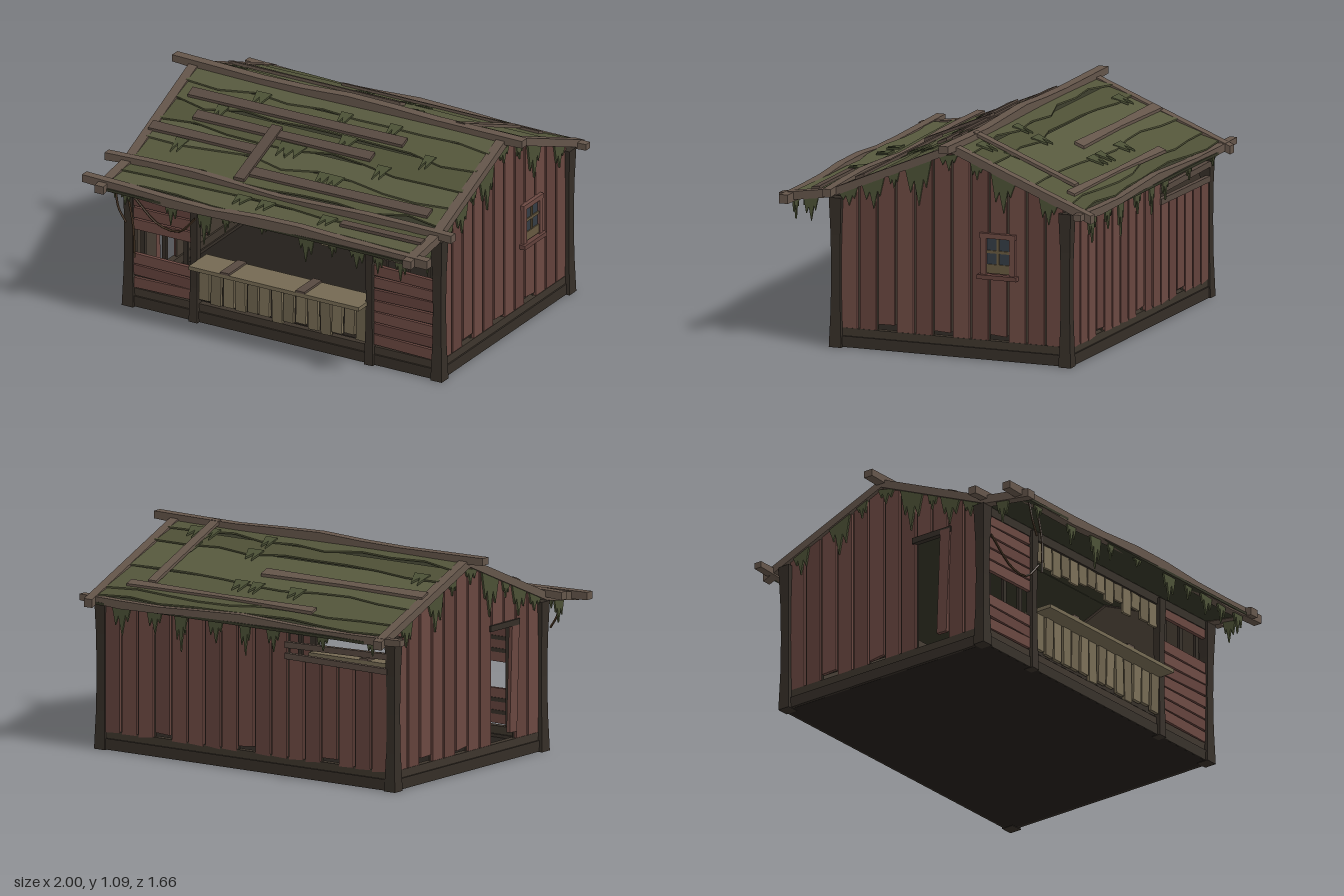
import * as THREE from 'three';

export function createModel() {
  const root = new THREE.Group();
  const mats = {};
  const mat = (c) => (mats[c] ??= new THREE.MeshStandardMaterial({ color: c, flatShading: true, side: THREE.DoubleSide }));
  const RED = [0x68463f, 0x62413b, 0x6c4942], INNER = 0x453c32, DARK = 0x352e27, POST = 0x3d352c,
    BEAM = 0x64554a, PATCH = 0x574940, PALE = [0x746952, 0x6c614c, 0x7a6e56], MOSS = [0x53553a, 0x4e5036, 0x57593e], DRIP = 0x4b5035;
  let seed = 7;
  const rnd = (a = 0, b = 1) => a + (b - a) * ((seed = (seed * 16807) % 2147483647) / 2147483647);

  const add = (name, geo, color, parent = root) => {
    const m = new THREE.Mesh(geo, mat(color));
    m.name = name;
    parent.add(m);
    return m;
  };
  const group = (name) => {
    const g = new THREE.Group();
    g.name = name;
    root.add(g);
    return g;
  };
  const box = (name, w, h, d, x, y, z, color, parent) => {
    const m = add(name, new THREE.BoxGeometry(w, h, d), color, parent);
    m.position.set(x, y, z);
    return m;
  };
  const slab = (pts, depth) => new THREE.ExtrudeGeometry(
    new THREE.Shape(pts.map((p) => new THREE.Vector2(p[0], p[1]))), { depth, bevelEnabled: false });

  // Roof profile: height of the roof deck at depth z
  const profile = [[-0.82, 0.745], [-0.09, 1.04], [0.55, 0.765], [0.82, 0.725]];
  const roofY = (z) => {
    const i = z < -0.09 ? 0 : z < 0.55 ? 1 : 2;
    const [a, b] = [profile[i], profile[i + 1]];
    return a[1] + ((z - a[0]) / (b[0] - a[0])) * (b[1] - a[1]);
  };

  // Piece drawn in plan (x, z) and draped on the roof; lift(z) raises it
  const drape = (name, pts, thick, lift, color, parent) => {
    const g = slab(pts.map(([x, z]) => [x, -z]), thick).rotateX(-Math.PI / 2);
    const p = g.attributes.position;
    for (let i = 0; i < p.count; i++) p.setY(i, p.getY(i) + roofY(p.getZ(i)) + lift(p.getZ(i)));
    g.computeVertexNormals();
    return add(name, g, color, parent);
  };

  // Crooked beam along x
  const beam = (name, x0, x1, h, d, y, z, color, bend = 0.01) => {
    const g = new THREE.BoxGeometry(x1 - x0, h, d, 8, 1, 1), p = g.attributes.position, k = rnd(0, 6);
    for (let i = 0; i < p.count; i++) {
      const x = p.getX(i), s = Math.sin(x * 5 + k);
      p.setY(i, p.getY(i) * (1 + 0.15 * Math.sin(x * 9 + k)) + bend * s);
      p.setZ(i, p.getZ(i) + bend * 0.7 * Math.cos(x * 4 + k));
    }
    add(name, g, color).position.set((x0 + x1) / 2, y, z);
  };

  // Floor and sill beams
  box('floor', 1.76, 0.04, 1.25, 0, 0.022, -0.085, 0x231e1a);
  for (const z of [0.52, -0.695]) {
    box('lowerSill', 1.74, 0.055, 0.05, 0, 0.03, z, DARK);
    box('upperSill', 1.74, 0.04, 0.035, 0, 0.078, z, POST);
  }
  for (const x of [-0.87, 0.87]) {
    box('lowerSill', 0.05, 0.055, 1.2, x, 0.03, -0.085, DARK);
    box('upperSill', 0.035, 0.04, 1.2, x, 0.078, -0.085, POST);
  }

  // Flared posts
  const post = (x, z, h, w) => {
    const g = new THREE.BoxGeometry(w, h, w, 1, 4, 1), p = g.attributes.position;
    for (let i = 0; i < p.count; i++) {
      const t = Math.abs(p.getY(i) / h) * 2, s = 0.72 + 0.28 * t * t;
      p.setX(i, p.getX(i) * s);
      p.setZ(i, p.getZ(i) * s);
    }
    add('post', g, DARK).position.set(x, h / 2, z);
  };
  for (const x of [-0.88, 0.88]) {
    post(x, 0.525, 0.75, 0.065);
    post(x, -0.695, 0.77, 0.065);
  }
  for (const x of [-0.505, 0.495]) post(x, 0.535, 0.74, 0.05);

  // Vertical board wall: red boards outside, brown lining inside
  const boardWall = (name, u0, u1, n, top, bottom, out) => {
    const g = group(name), step = (u1 - u0) / n;
    for (let i = 0; i < n; i++) {
      const a = u0 + i * step, b = a + step, lo = bottom(i), e = 0.007;
      const tops = (l, r) => (l < -0.09 && r > -0.09 ? [[r, top(r, i)], [-0.09, top(-0.09, i)], [l, top(l, i)]] : [[r, top(r, i)], [l, top(l, i)]]);
      const skew = rnd(-0.006, 0.006);
      if (lo === null) continue;
      add('board', slab([[a + e, lo + skew], [b - e, lo - skew], ...tops(a + e, b - e)], 0.014), RED[i % 3], g).position.z = out * 0.008 - 0.007;
      add('lining', slab([[a, lo], [b, lo], ...tops(a, b)], 0.008), INNER, g).position.z = -out * 0.004 - 0.004;
    }
    return g;
  };
  const gableTop = (z) => roofY(z) - 0.01;
  const right = boardWall('rightWall', -0.68, 0.51, 12, gableTop, (i) => ({ 3: 0.125, 6: 0.12, 9: 0.13 }[i] ?? 0.09), -1);
  right.rotation.y = -Math.PI / 2;
  right.position.x = 0.87;
  const left = boardWall('leftWall', -0.68, 0.51, 12, gableTop, (i) => ({ 2: 0.13, 8: 0.69, 9: 0.67, 5: 0.12 }[i] ?? 0.09), 1);
  left.rotation.y = -Math.PI / 2;
  left.position.x = -0.87;
  const back = boardWall('backWall', -0.86, 0.86, 17, (x, i) => (i < 6 ? 0.59 : 0.755), (i) => (i % 5 === 3 ? 0.12 : 0.09), -1);
  back.position.z = -0.7;

  // Loose rails across the gap in the back wall, and a hanging doorway board
  for (const [y, r] of [[0.6, 0.01], [0.665, -0.02]]) box('gapRail', 0.62, 0.03, 0.025, -0.55, y, -0.712, PATCH).rotation.z = r;
  box('looseDoorBoard', 0.02, 0.55, 0.06, -0.885, 0.41, 0.29, RED[0]).rotation.x = 0.04;
  box('doorLintel', 0.03, 0.03, 0.24, -0.88, 0.68, 0.215, DARK);

  // Front side panels of horizontal boards, each with a missing stretch
  for (const [cx, w, gap] of [[-0.695, 0.34, [3, 4]], [0.69, 0.35, [7, 8]]]) {
    const g = group('frontPanel');
    for (let i = 0; i < 10; i++) {
      if (gap.includes(i)) continue;
      const b = box('board', w, 0.054, 0.02, cx, 0.132 + i * 0.062, 0.53, RED[i % 3], g);
      b.rotation.z = rnd(-0.025, 0.025);
      if (!gap.includes(i + 1) && i < 9) box('seam', w, 0.02, 0.008, cx, 0.163 + i * 0.062, 0.52, DARK, g);
    }
    for (const s of [-1, 0, 1]) box('stud', 0.025, 0.62, 0.015, cx + s * w * 0.36, 0.41, 0.51, DARK, g);
  }

  // Counter and valance
  const counter = group('counter');
  box('counterTop', 0.97, 0.02, 0.17, 0, 0.325, 0.55, PALE[0], counter);
  box('counterBacking', 0.96, 0.2, 0.015, 0, 0.21, 0.515, DARK, counter);
  for (let i = 0; i < 14; i++) {
    const x = -0.45 + i * 0.069, h = rnd(0.18, 0.22), v = rnd(0.08, 0.14);
    box('counterBoard', 0.057, h, 0.018, x, 0.315 - h / 2, 0.535 + 0.004 * (i % 2), PALE[i % 3], counter).rotation.z = rnd(-0.04, 0.04);
    box('valanceBoard', 0.062, v, 0.014, x, 0.705 - v / 2, 0.53, PALE[(i + 1) % 3], counter).rotation.z = rnd(-0.05, 0.05);
  }
  for (const x of [-0.28, 0.15]) box('counterStrap', 0.05, 0.012, 0.17, x, 0.34, 0.55, PATCH, counter);

  // Window on the right wall
  const win = group('window');
  box('pane', 0.012, 0.16, 0.13, 0.885, 0.535, -0.335, 0x343c44, win);
  for (const z of [-0.26, -0.41]) box('frameSide', 0.025, 0.2, 0.03, 0.89, 0.53, z, RED[2], win);
  box('frameTop', 0.03, 0.025, 0.19, 0.89, 0.625, -0.335, RED[2], win);
  box('lowerPanel', 0.025, 0.045, 0.13, 0.885, 0.46, -0.335, 0x66583f, win);
  box('mullion', 0.02, 0.15, 0.014, 0.887, 0.54, -0.335, 0x66583f, win);
  box('crossbar', 0.02, 0.014, 0.13, 0.887, 0.545, -0.335, 0x66583f, win);
  box('windowSill', 0.045, 0.022, 0.21, 0.895, 0.42, -0.335, RED[1], win);

  // Roof deck
  for (let i = 0; i < 3; i++) {
    const [z0, z1] = [profile[i][0] + 0.02 * (i === 0), profile[i + 1][0] - 0.002 - 0.02 * (i === 2)];
    drape('roofDeck', [[-0.87, z0], [-0.87, z1], [0.87, z1], [0.87, z0]], 0.014, () => -0.014, 0x343526);
  }

  // Mossy courses with ragged lower edges and small tufts
  const courses = [[-0.09, -0.2], [-0.17, -0.31], [-0.27, -0.56], [-0.5, -0.73], [-0.67, -0.79],
    [-0.085, 0.04], [0.0, 0.17], [0.13, 0.29], [0.25, 0.41], [0.36, 0.535], [0.552, 0.67], [0.62, 0.79]];
  courses.forEach(([z0, z1], r) => {
    const dir = Math.sign(z1 - z0), pts = [[-0.865, z0], [0.865, z0]];
    for (let i = 0; i <= 9; i++) pts.push([0.865 - i * 1.73 / 9, z1 - dir * rnd(0, 0.055)]);
    const lift = (z) => 0.002 + 0.018 * Math.abs((z - z0) / (z1 - z0));
    drape('mossCourse', pts, 0.008, lift, MOSS[r % 3]);
    if (Math.abs(z1) > 0.7 || z1 === 0.535) return;
    for (let k = 0; k < 3; k++) {
      const x = rnd(-0.8, 0.75), e = z1 - dir * 0.045, w = rnd(0.03, 0.05), l = dir * 0.085;
      drape('mossTuft', [[x - w, e], [x - w * 0.6, e + l], [x - w * 0.2, e + l * 0.4], [x + w * 0.3, e + l * 0.9], [x + w, e]], 0.01, () => 0.02, DRIP);
    }
  });

  // Planks nailed over the roof: x0, x1, z, width
  for (const [x0, x1, z, w] of [[-0.38, 0.75, -0.66, 0.04], [-0.88, 0.1, -0.43, 0.05], [-0.8, 0.42, 0.085, 0.05],
    [-0.7, 0.31, 0.21, 0.05], [-0.88, -0.25, 0.33, 0.05], [-0.23, 0.78, 0.45, 0.05], [0.4, 0.86, 0.65, 0.04]]) {
    const m = (x0 + x1) / 2, h = w / 2, t = rnd(-0.01, 0.01);
    drape('roofPlank', [[x0, z - h + t], [m, z - h * 0.7], [x1, z - h], [x1, z + h], [m, z + h * 0.8 + t], [x0, z + h + t]], 0.016, () => 0.02, z < 0 ? BEAM : PATCH);
  }
  drape('roofBatten', [[0.6, -0.64], [0.6, -0.1], [0.65, -0.1], [0.65, -0.64]], 0.016, () => 0.028, BEAM);
  drape('roofBatten', [[-0.28, 0.18], [-0.29, 0.53], [-0.23, 0.53], [-0.22, 0.18]], 0.016, () => 0.03, PATCH);

  // Rafters along the gables, and long crooked beams
  for (const x of [-0.885, 0.87]) {
    const pts = [...profile.map(([z, y]) => [z * 1.01, y + 0.024]), ...profile.map(([z, y]) => [z * 1.01, y - 0.018]).reverse()];
    const r = add('rafter', slab(pts, 0.05).rotateY(-Math.PI / 2), BEAM);
    r.position.x = x + 0.03;
  }
  beam('ridgeBeam', -1, 1, 0.042, 0.05, 1.058, -0.09, BEAM, 0.008);
  beam('backEaveBeam', -1, 0.95, 0.036, 0.04, 0.765, -0.78, BEAM);
  beam('frontPurlin', -1, 0.97, 0.036, 0.042, 0.785, 0.55, BEAM);
  beam('frontEaveBeam', -1, 0.97, 0.045, 0.045, 0.74, 0.775, BEAM);
  box('frontHeader', 1.72, 0.045, 0.03, 0, 0.73, 0.53, DARK);

  // Hanging moss: each item is [position, width, length]
  const hang = (items, topAt, place) => items.forEach(([u, w, l]) => {
    const y = topAt(u), s = w / 2;
    const top = (v) => topAt(u + v);
    place(add('hangingMoss', slab([[u - s, top(-s)], [u - s * 0.6, y - l * 0.55], [u - s * 0.4, y - l * 0.35], [u - s * 0.05, y - l],
      [u + s * 0.3, y - l * 0.4], [u + s * 0.6, y - l * 0.7], [u + s, top(s)]], 0.01), DRIP));
  });
  const gableMoss = [[0.46, 0.1, 0.08], [0.33, 0.12, 0.14], [0.22, 0.06, 0.08], [0.09, 0.14, 0.21], [-0.07, 0.1, 0.09],
    [-0.22, 0.07, 0.08], [-0.36, 0.13, 0.18], [-0.6, 0.1, 0.12], [0.66, 0.08, 0.12]];
  for (const x of [-0.885, 0.895]) hang(gableMoss, (z) => roofY(z) - 0.01, (m) => {
    m.rotation.y = -Math.PI / 2;
    m.position.x = x;
  });
  hang([[-0.76, 0.07, 0.08], [-0.5, 0.08, 0.13], [-0.31, 0.09, 0.19], [-0.19, 0.05, 0.1], [0.02, 0.07, 0.06], [0.27, 0.1, 0.15],
    [0.42, 0.06, 0.09], [0.56, 0.1, 0.12], [0.68, 0.07, 0.12], [0.81, 0.08, 0.13]], () => 0.735, (m) => (m.position.z = 0.77));
  hang([[-0.8, 0.07, 0.08], [-0.5, 0.08, 0.09], [-0.2, 0.09, 0.13], [-0.03, 0.07, 0.17], [0.15, 0.1, 0.13], [0.36, 0.08, 0.2],
    [0.52, 0.1, 0.13], [0.72, 0.12, 0.16]], () => 0.755, (m) => (m.position.z = -0.765));

  // Dry vines at the front left
  for (const path of [[[-0.76, 0.73, 0.765], [-0.72, 0.55, 0.77], [-0.715, 0.38, 0.765]],
    [[-0.85, 0.6, 0.555], [-0.7, 0.48, 0.56], [-0.58, 0.47, 0.56], [-0.49, 0.56, 0.565]],
    [[-0.82, 0.72, 0.77], [-0.8, 0.63, 0.775], [-0.76, 0.56, 0.77]]]) {
    const curve = new THREE.CatmullRomCurve3(path.map((p) => new THREE.Vector3(...p)));
    add('vine', new THREE.TubeGeometry(curve, 10, 0.006, 5), 0x4d3a28);
  }
  return root;
}
